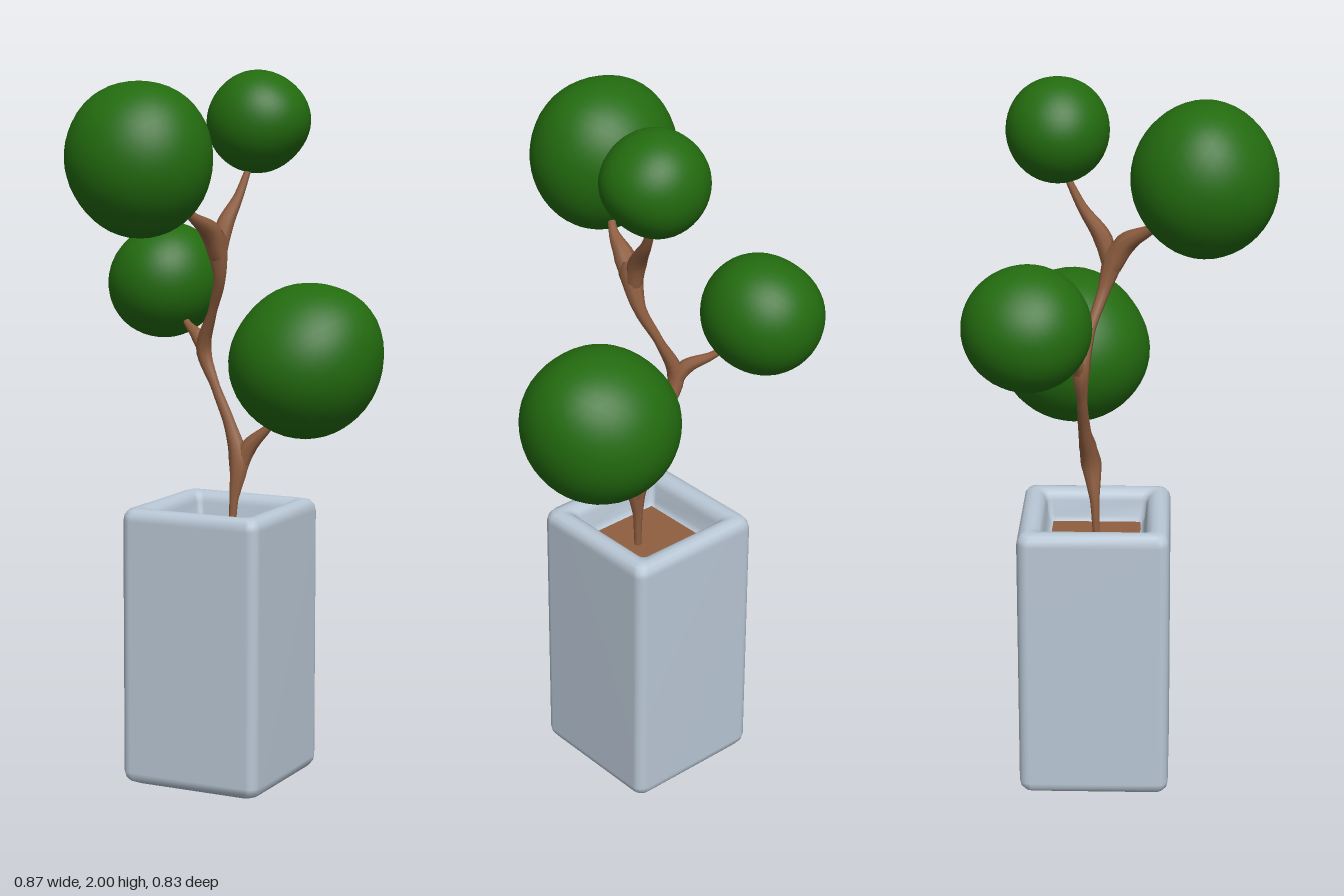
import * as THREE from 'three';
import { mergeVertices } from 'three/addons/utils/BufferGeometryUtils.js';

const mat = (name, color, side = THREE.FrontSide) => {
  const m = new THREE.MeshStandardMaterial({ color, side });
  m.name = name;
  return m;
};

// Rounded-square loops stacked along a [half size, y, corner radius] profile
function squareLoft(profile, arc = 4) {
  const pos = [], index = [], n = 4 * (arc + 1);
  for (const [h, y, r] of profile) {
    for (let c = 0; c < 4; c++) {
      const mid = Math.PI / 4 + c * Math.PI / 2;
      const cx = Math.sign(Math.cos(mid)) * (h - r), cz = Math.sign(Math.sin(mid)) * (h - r);
      for (let k = 0; k <= arc; k++) {
        const a = c * Math.PI / 2 + (k / arc) * Math.PI / 2;
        pos.push(cx + Math.cos(a) * r, y, cz + Math.sin(a) * r);
      }
    }
  }
  for (let j = 0; j < profile.length - 1; j++) {
    for (let i = 0; i < n; i++) {
      const a = j * n + i, b = j * n + (i + 1) % n;
      index.push(a, a + n, b, b, a + n, b + n);
    }
  }
  const g = new THREE.BufferGeometry();
  g.setAttribute('position', new THREE.Float32BufferAttribute(pos, 3));
  g.setIndex(index);
  g.computeVertexNormals();
  return g;
}

// Tube whose radius follows the fourth number of each [x, y, z, r] point
function taperedTube(points) {
  const path = new THREE.CatmullRomCurve3(points.map(p => new THREE.Vector3(p[0], p[1], p[2])));
  const segs = (points.length - 1) * 6, sides = 8;
  const g = new THREE.TubeGeometry(path, segs, 1, sides);
  const pos = g.attributes.position, v = new THREE.Vector3();
  for (let i = 0; i <= segs; i++) {
    const c = path.getPointAt(i / segs);
    const u = path.getUtoTmapping(i / segs) * (points.length - 1);
    const k = Math.min(Math.floor(u), points.length - 2);
    const r = THREE.MathUtils.lerp(points[k][3], points[k + 1][3], u - k);
    for (let j = 0; j <= sides; j++) {
      const id = i * (sides + 1) + j;
      v.fromBufferAttribute(pos, id).sub(c).multiplyScalar(r).add(c);
      pos.setXYZ(id, v.x, v.y, v.z);
    }
  }
  return g;
}

// Lumpy ball: an ellipsoid with soft bulges [dx, dy, dz, amount]
function leafBall(radii, bulges) {
  let g = new THREE.IcosahedronGeometry(1, 7);
  g.deleteAttribute('uv');
  g.deleteAttribute('normal');
  g = mergeVertices(g, 1e-4);
  const pos = g.attributes.position, v = new THREE.Vector3();
  const dirs = bulges.map(b => new THREE.Vector3(b[0], b[1], b[2]).normalize());
  for (let i = 0; i < pos.count; i++) {
    v.fromBufferAttribute(pos, i);
    let s = 1;
    dirs.forEach((d, k) => { s += bulges[k][3] * Math.max(0, v.dot(d)) ** 6; });
    pos.setXYZ(i, v.x * s * radii[0], v.y * s * radii[1], v.z * s * radii[2]);
  }
  g.computeVertexNormals();
  return g;
}

export function createModel() {
  const model = new THREE.Group();
  const potMat = mat('pale blue glaze', 0xb9c7d5);
  const woodMat = mat('brown bark and soil', 0x8f5e40);
  const leafMat = mat('leaf green', 0x236b0f);
  const add = (name, geo, material, x = 0, y = 0, z = 0) => {
    const m = new THREE.Mesh(geo, material);
    m.name = name;
    m.position.set(x, y, z);
    model.add(m);
    return m;
  };

  // Planter: outside from the base up, over the rounded rim, down to the inner floor
  add('planter', squareLoft([
    [0.001, 0, 0.0005], [0.18, 0, 0.02], [0.198, 0.008, 0.027], [0.207, 0.02, 0.03], [0.21, 0.035, 0.03],
    [0.21, 0.755, 0.03], [0.207, 0.772, 0.03], [0.198, 0.785, 0.027], [0.182, 0.79, 0.022],
    [0.165, 0.788, 0.02], [0.15, 0.778, 0.018], [0.143, 0.76, 0.016],
    [0.138, 0.715, 0.016], [0.128, 0.7, 0.016], [0.11, 0.695, 0.016], [0.001, 0.695, 0.0005],
  ]), potMat, -0.01, 0, -0.077);

  // Soil
  add('soil', new THREE.BoxGeometry(0.25, 0.008, 0.25), woodMat, -0.01, 0.699, -0.077);

  // Trunk, thin between forks and wide at each of them
  add('trunk', taperedTube([
    [0.025, 0.68, -0.075, 0.009], [0.03, 0.8, -0.08, 0.013], [0.04, 0.91, -0.09, 0.03],
    [0.005, 1.01, -0.105, 0.018], [-0.045, 1.12, -0.11, 0.014], [-0.08, 1.22, -0.11, 0.024],
    [-0.04, 1.33, -0.085, 0.013], [0, 1.43, -0.05, 0.018], [0.005, 1.53, -0.02, 0.034],
    [0.004, 1.56, -0.01, 0.02],
  ]), woodMat);

  // Side branches, one into each ball of leaves
  const branches = {
    lowerLeftBranch: [[0.04, 0.88, -0.09, 0.022], [0.065, 0.95, -0.1, 0.025], [0.12, 1.01, -0.12, 0.011], [0.19, 1.1, -0.14, 0.005]],
    rightBranch: [[-0.07, 1.19, -0.11, 0.016], [-0.1, 1.245, -0.125, 0.022], [-0.16, 1.28, -0.17, 0.011], [-0.23, 1.34, -0.22, 0.005]],
    upperFrontBranch: [[0.005, 1.49, -0.03, 0.026], [0, 1.56, 0.01, 0.03], [-0.02, 1.605, 0.08, 0.013], [-0.07, 1.68, 0.15, 0.005]],
    topBranch: [[0.005, 1.48, -0.03, 0.022], [0.012, 1.57, -0.055, 0.026], [0.028, 1.65, -0.11, 0.014], [0.045, 1.76, -0.165, 0.007]],
  };
  for (const [name, pts] of Object.entries(branches)) add(name, taperedTube(pts), woodMat);

  // Balls of leaves
  add('lowerLeftLeaves', leafBall([0.215, 0.215, 0.218],
    [[1, 0.8, -0.1, 0.08], [-1, 0.75, 0.2, -0.05], [0.1, -1, 0.1, 0.02], [0, 0.7, 1, -0.05]]), leafMat, 0.218, 1.2, -0.144);
  add('rightLeaves', leafBall([0.165, 0.167, 0.173],
    [[0.7, 0.8, 0.2, 0.03], [-0.8, 0.8, 0, -0.05], [-0.7, -0.6, 0.3, 0.03], [0.8, -0.7, 0, -0.03]]), leafMat, -0.27, 1.398, -0.245);
  add('upperFrontLeaves', leafBall([0.204, 0.208, 0.197],
    [[-0.6, 0.8, 0, 0.04], [0.6, 0.8, 0.1, 0.04], [-0.8, -0.6, 0.2, -0.04], [0.8, -0.2, -0.8, -0.04], [0, -0.7, -0.7, -0.04]]), leafMat, -0.106, 1.757, 0.218);
  add('topLeaves', leafBall([0.147, 0.144, 0.14],
    [[1, 0.15, 0.2, 0.02], [0.8, -0.7, 0, -0.06], [-0.8, 0.6, 0, -0.03], [0.6, 0.8, 0, -0.03]]), leafMat, 0.058, 1.856, -0.176);

  return model;
}
